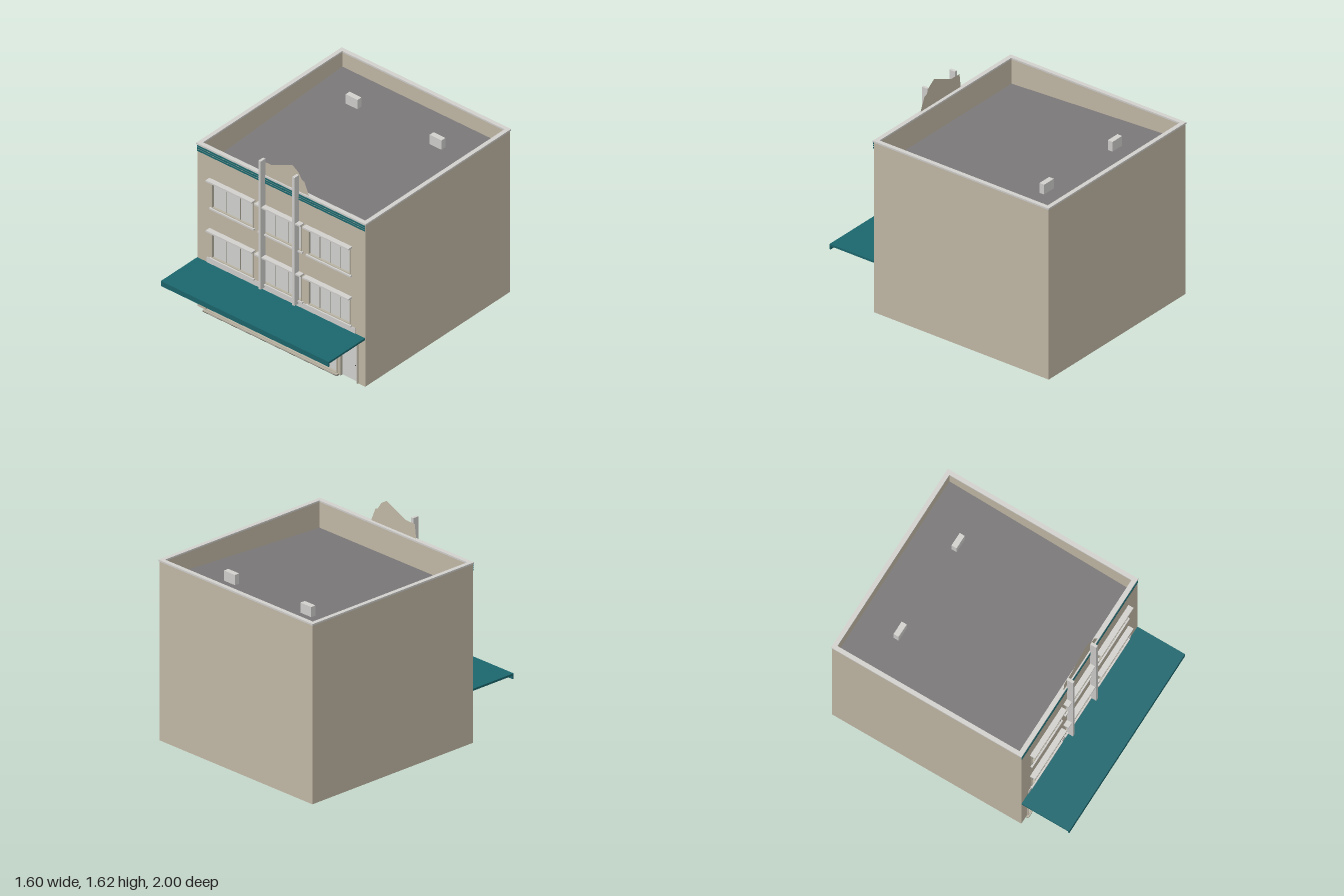
import * as THREE from 'three';

const mat = (name, color, side = THREE.FrontSide) => {
  const m = new THREE.MeshStandardMaterial({ color, side });
  m.name = name;
  return m;
};

// rectangle outline, used for shapes and for holes
const rect = (Type, x0, x1, y0, y1) => {
  const p = new Type();
  p.moveTo(x0, y0).lineTo(x1, y0).lineTo(x1, y1).lineTo(x0, y1).closePath();
  return p;
};
const polygon = (points) => new THREE.Shape(points.map(([x, y]) => new THREE.Vector2(x, y)));

export function createModel() {
  const group = new THREE.Group();
  const wall = mat('beige wall', 0xc3baa7, THREE.DoubleSide);
  const trim = mat('light grey trim', 0xd1d0cd);
  const glass = mat('pale glass', 0xd5d5d3, THREE.DoubleSide);
  const roofing = mat('dark grey roof', 0x7a7778, THREE.DoubleSide);
  const teal = mat('teal', 0x1b666d);
  const frameMat = mat('window frame', 0xb9b3a3, THREE.DoubleSide);
  const dark = mat('dark metal', 0x4a4845);

  const add = (name, geo, m) => {
    const mesh = new THREE.Mesh(geo, m);
    mesh.name = name;
    group.add(mesh);
    return mesh;
  };
  const box = (name, m, x0, x1, y0, y1, z0, z1) =>
    add(name, new THREE.BoxGeometry(x1 - x0, y1 - y0, z1 - z0), m)
      .position.set((x0 + x1) / 2, (y0 + y1) / 2, (z0 + z1) / 2);
  const quad = (name, m, a, b, c, d) => {
    const g = new THREE.BufferGeometry();
    g.setAttribute('position', new THREE.Float32BufferAttribute([...a, ...b, ...c, ...d], 3));
    g.setIndex([0, 1, 2, 0, 2, 3]);
    g.computeVertexNormals();
    add(name, g, m);
  };
  // frame ring around an opening, from z0 to z1
  const ring = (name, m, x0, x1, y0, y1, t, z0, z1) => {
    const s = rect(THREE.Shape, x0, x1, y0, y1);
    s.holes.push(rect(THREE.Path, x0 + t, x1 - t, y0 + t, y1 - t));
    const g = new THREE.ExtrudeGeometry(s, { depth: z1 - z0, bevelEnabled: false });
    add(name, g, m).position.z = z0;
  };

  const W = 0.793, F = 0.598, B = -0.996, Y0 = 0.012, Y1 = 1.413, E = 0.004;
  const GLASS = F - 0.014, BACK = F - 0.018;
  // window columns as left edge, right edge, number of lights
  const columns = [[-0.657, -0.26, 3], [-0.199, 0.196, 3], [0.255, 0.654, 4]];
  const floors = [[0.488, 0.715, 0.726], [0.922, 1.15, 1.161]];
  const shop = [-0.716, 0.53, Y0, 0.39];
  const [dx0, dx1, dy1] = [0.554, 0.727, 0.364];

  // front wall, notched for the shop and the door, with window openings
  const facade = polygon([
    [-W, Y0], [shop[0] + E, Y0], [shop[0] + E, shop[3] - E], [shop[1] - E, shop[3] - E], [shop[1] - E, Y0],
    [dx0 + E, Y0], [dx0 + E, dy1 - E], [dx1 - E, dy1 - E], [dx1 - E, Y0], [W, Y0], [W, Y1], [-W, Y1],
  ]);
  for (const [y0, y1] of floors)
    for (const [x0, x1] of columns)
      facade.holes.push(rect(THREE.Path, x0 + E, x1 - E, y0 + E, y1 - E));
  add('frontWall', new THREE.ShapeGeometry(facade), wall).position.z = F;

  // side and back walls, open underneath
  quad('backWall', wall, [W, Y0, B], [-W, Y0, B], [-W, Y1, B], [W, Y1, B]);
  quad('leftWall', wall, [W, Y0, F], [W, Y0, B], [W, Y1, B], [W, Y1, F]);
  quad('rightWall', wall, [-W, Y0, B], [-W, Y0, F], [-W, Y1, F], [-W, Y1, B]);

  // roof sloping gently to the front, inside the parapet
  const P = 0.766, PF = 0.566, PB = -0.966, RF = 1.212, RB = 1.29;
  quad('roof', roofing, [-P, RF, PF], [P, RF, PF], [P, RB, PB], [-P, RB, PB]);
  quad('parapetBack', wall, [-P, RB, PB], [P, RB, PB], [P, Y1, PB], [-P, Y1, PB]);
  quad('parapetFront', wall, [P, RF, PF], [-P, RF, PF], [-P, Y1, PF], [P, Y1, PF]);
  quad('parapetLeft', wall, [P, RB, PB], [P, RF, PF], [P, Y1, PF], [P, Y1, PB]);
  quad('parapetRight', wall, [-P, RF, PF], [-P, RB, PB], [-P, Y1, PB], [-P, Y1, PF]);

  // coping around the top
  const coping = rect(THREE.Shape, -0.8, 0.8, -0.602, 1);
  coping.holes.push(rect(THREE.Path, -P, P, -PF, -PB));
  const copingGeo = new THREE.ExtrudeGeometry(coping, { depth: 0.013, bevelEnabled: false });
  copingGeo.rotateX(-Math.PI / 2);
  add('coping', copingGeo, trim).position.y = 1.412;

  // roof vents
  for (const x of [-0.4, 0.393]) box('roofVent', trim, x - 0.056, x + 0.056, 1.265, 1.355, -0.685, -0.642);

  // cornice stripes
  for (const y of [1.359, 1.377, 1.395]) box('corniceStripe', teal, -W, W, y, y + 0.012, F + 0.001, F + 0.005);

  // shaped crest above the parapet
  const crest = polygon([
    [-0.21, 1.41], [-0.195, 1.535], [-0.1, 1.538], [0.1, 1.625], [0.155, 1.588],
    [0.19, 1.535], [0.212, 1.53], [0.264, 1.41],
  ]);
  add('crest', new THREE.ShapeGeometry(crest), wall).position.z = 0.592;

  // tall facade posts
  for (const x of [-0.161, 0.158]) box('post', trim, x - 0.011, x + 0.011, 0.462, 1.572, F + 0.001, 0.65);

  // glass pane with blade-thin fins between its lights
  const pane = (name, x0, x1, y0, y1, lights) => {
    add(name, new THREE.PlaneGeometry(x1 - x0, y1 - y0), glass).position.set((x0 + x1) / 2, (y0 + y1) / 2, GLASS);
    for (let i = 1; i < lights; i++) {
      const x = x0 + (x1 - x0) * i / lights;
      quad('mullion', frameMat, [x, y0, GLASS], [x, y0, F - 0.006], [x, y1, F - 0.006], [x, y1, GLASS]);
    }
  };

  // upper windows
  for (const [y0, y1, head] of floors)
    for (const [x0, x1, lights] of columns) {
      ring('windowFrame', frameMat, x0, x1, y0, y1, 0.008, BACK, F + 0.004);
      pane('windowGlass', x0 + E, x1 - E, y0 + E, y1 - E, lights);
      box('windowHead', trim, x0 - 0.02, x1 + 0.017, head, head + 0.013, F + 0.001, 0.642);
      box('windowSill', trim, x0 - 0.012, x1 + 0.012, y0 - 0.011, y0 + 0.002, BACK, 0.614);
    }

  // sign band and awning with front lip
  box('signBand', trim, -0.7, 0.7, 0.43, 0.48, F + 0.001, F + 0.005);
  box('awning', teal, -W, W, 0.418, 0.434, F + 0.001, 1);
  box('awningLip', teal, -W, W, 0.391, 0.42, 0.99, 1);

  // shop window
  ring('shopFrame', frameMat, ...shop, 0.009, BACK, F + 0.007);
  pane('shopGlass', shop[0] + E, shop[1] - E, shop[2] + E, shop[3] - E, 4);
  box('shopSill', frameMat, -0.727, 0.539, 0.003, 0.015, 0.584, 0.616);
  box('shopSillBase', dark, -0.727, 0.539, 0, 0.003, 0.584, 0.616);

  // door, with jambs and a lintel
  const J = 0.012;
  box('doorJamb', frameMat, dx0, dx0 + J, Y0, dy1, BACK, F + 0.006);
  box('doorJamb', frameMat, dx1 - J, dx1, Y0, dy1, BACK, F + 0.006);
  box('doorLintel', frameMat, dx0 + J, dx1 - J, dy1 - J, dy1, BACK, F + 0.006);
  pane('door', dx0 + E, dx1 - E, Y0, dy1 - E, 1);
  box('doorHead', frameMat, 0.545, 0.733, 0.371, 0.384, F + 0.001, F + 0.012);
  const knob = add('doorKnob', new THREE.SphereGeometry(0.004, 10, 8), dark);
  knob.position.set(0.69, 0.145, GLASS + 0.003);

  return group;
}
